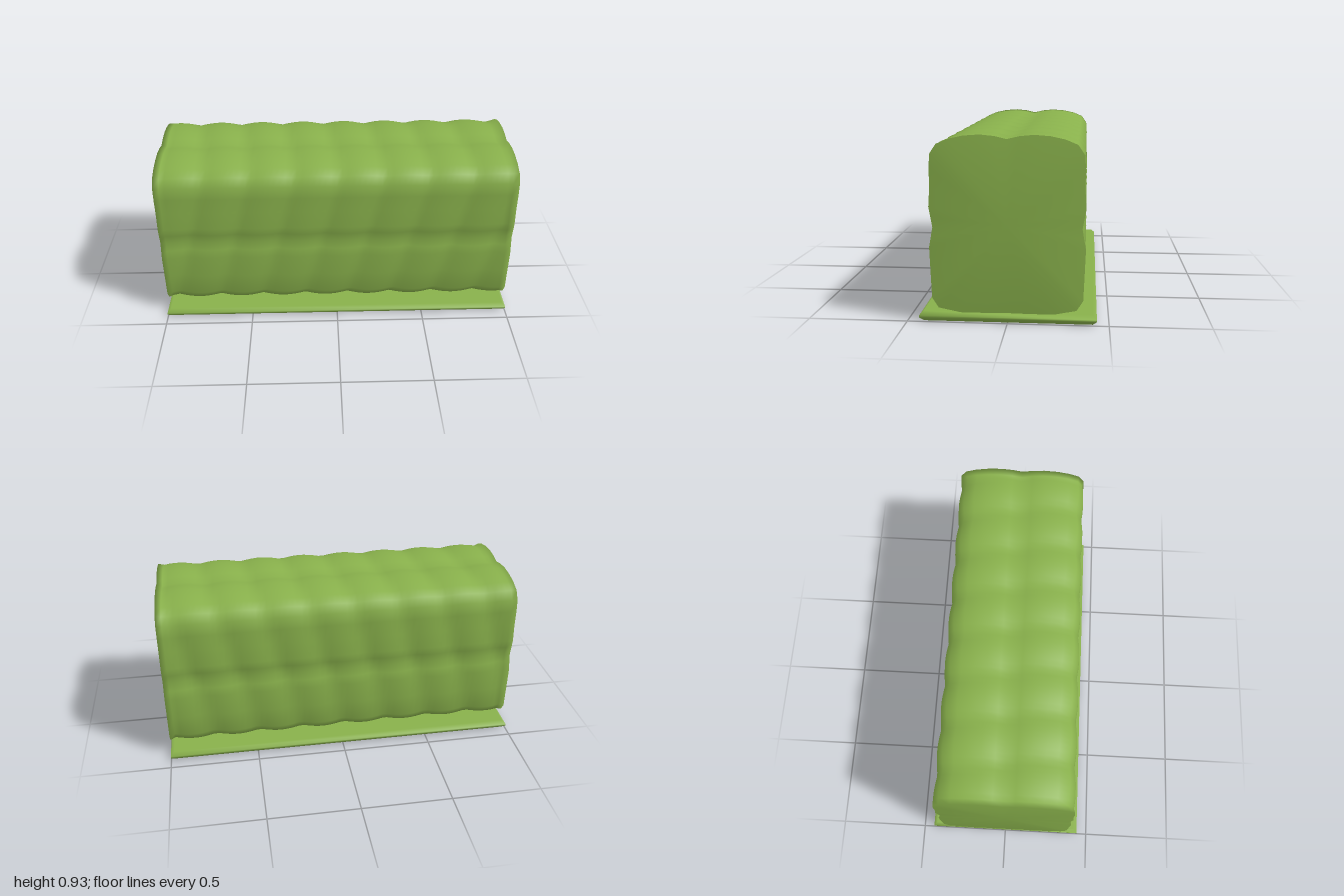
import * as THREE from 'three';
import { mergeVertices } from 'three/addons/utils/BufferGeometryUtils.js';

const leaf = new THREE.MeshStandardMaterial({ color: 0x88b04b });
leaf.name = 'leafGreen';

// Share the corners so the surface is shaded smoothly
function smooth(geometry) {
  geometry.deleteAttribute('uv');
  geometry.deleteAttribute('normal');
  const merged = mergeVertices(geometry, 1e-4);
  merged.computeVertexNormals();
  return merged;
}

// Long clipped block: a lumpy section swept along x, scalloped eight times
function hedgeGeometry() {
  const half = [ // z, y from the top middle down to the bottom middle
    [0, 0.912], [0.06, 0.926], [0.13, 0.933], [0.21, 0.927], [0.28, 0.912], [0.34, 0.887], [0.372, 0.84],
    [0.377, 0.77], [0.375, 0.68], [0.382, 0.58], [0.373, 0.53], [0.364, 0.48], [0.373, 0.43], [0.382, 0.38],
    [0.377, 0.25], [0.372, 0.125], [0.34, 0.075], [0.23, 0.053], [0.11, 0.053], [0, 0.055],
  ];
  const ring = [...half, ...half.slice(1, -1).reverse().map(([z, y]) => [-z, y])];
  const n = ring.length, steps = 64, midY = 0.49;
  const positions = [], index = [];
  for (let i = 0; i <= steps; i++) {
    const x = -1 + (2 * i) / steps;
    for (const [z, y] of ring) {
      // slanted scallops press the surface inwards between the lumps
      const skew = (y - midY) * 0.25 + z * 0.12;
      const wave = 1 - Math.abs(Math.cos(Math.PI * 4 * (x - skew)));
      const press = i === 0 || i === steps ? 0 : 0.017 * wave;
      const k = 1 - press / Math.hypot(z, y - midY);
      positions.push(x, midY + (y - midY) * k, z * k);
    }
  }
  for (let i = 0; i < steps; i++) {
    for (let j = 0; j < n; j++) {
      const a = i * n + j, b = i * n + (j + 1) % n;
      index.push(a, b, a + n, b, b + n, a + n);
    }
  }
  // flat ends
  const left = positions.length / 3, right = left + 1, last = steps * n;
  positions.push(-1, midY, 0, 1, midY, 0);
  for (let j = 0; j < n; j++) {
    const k = (j + 1) % n;
    index.push(left, k, j, right, last + j, last + k);
  }
  const g = new THREE.BufferGeometry();
  g.setAttribute('position', new THREE.Float32BufferAttribute(positions, 3));
  g.setIndex(index);
  g.computeVertexNormals();
  return g;
}

// Thin slab with chamfered edges
function baseGeometry() {
  const c = 0.02, w = 1 - c, d = 0.44 - c;
  const shape = new THREE.Shape([[-w, -d], [w, -d], [w, d], [-w, d]].map(p => new THREE.Vector2(...p)));
  const g = new THREE.ExtrudeGeometry(shape, {
    depth: 0.01, bevelEnabled: true, bevelSize: c, bevelThickness: c, bevelSegments: 1,
  });
  g.rotateX(-Math.PI / 2).translate(0, c, 0);
  return smooth(g);
}

export function createModel() {
  const group = new THREE.Group();
  group.name = 'hedge';
  const add = (name, geometry) => {
    const mesh = new THREE.Mesh(geometry, leaf);
    mesh.name = name;
    group.add(mesh);
  };
  add('foliage', hedgeGeometry());
  add('base', baseGeometry());
  return group;
}
